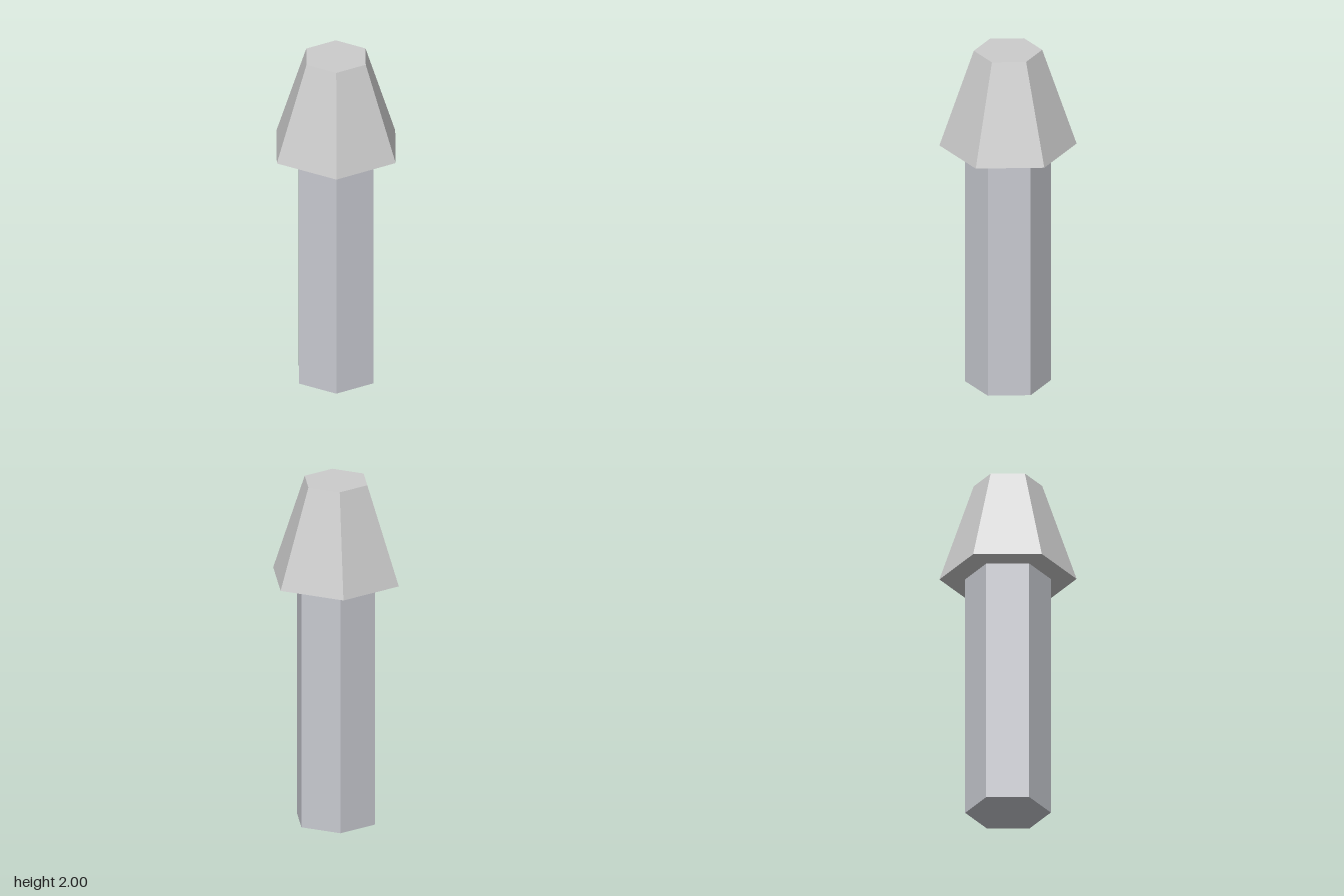
import * as THREE from 'three';

const SIDES = 6;
const STEM_HEIGHT = 1.43;
const CAP_HEIGHT = 0.57;

// Six-sided prism or frustum standing on height y, with a corner facing the front
function hexPart(name, topRadius, bottomRadius, height, y, color) {
  const geometry = new THREE.CylinderGeometry(topRadius, bottomRadius, height, SIDES);
  geometry.translate(0, y + height / 2, 0);
  const mesh = new THREE.Mesh(geometry, new THREE.MeshStandardMaterial({ color, flatShading: true }));
  mesh.name = name;
  return mesh;
}

export function createModel() {
  const group = new THREE.Group();
  group.name = 'hexagonalPost';

  // Straight, slightly bluish stem
  group.add(hexPart('stem', 0.238, 0.238, STEM_HEIGHT, 0, 0xc8cad1));

  // Wider cap tapering to a flat top
  group.add(hexPart('cap', 0.19, 0.381, CAP_HEIGHT, STEM_HEIGHT, 0xcccccc));

  return group;
}
